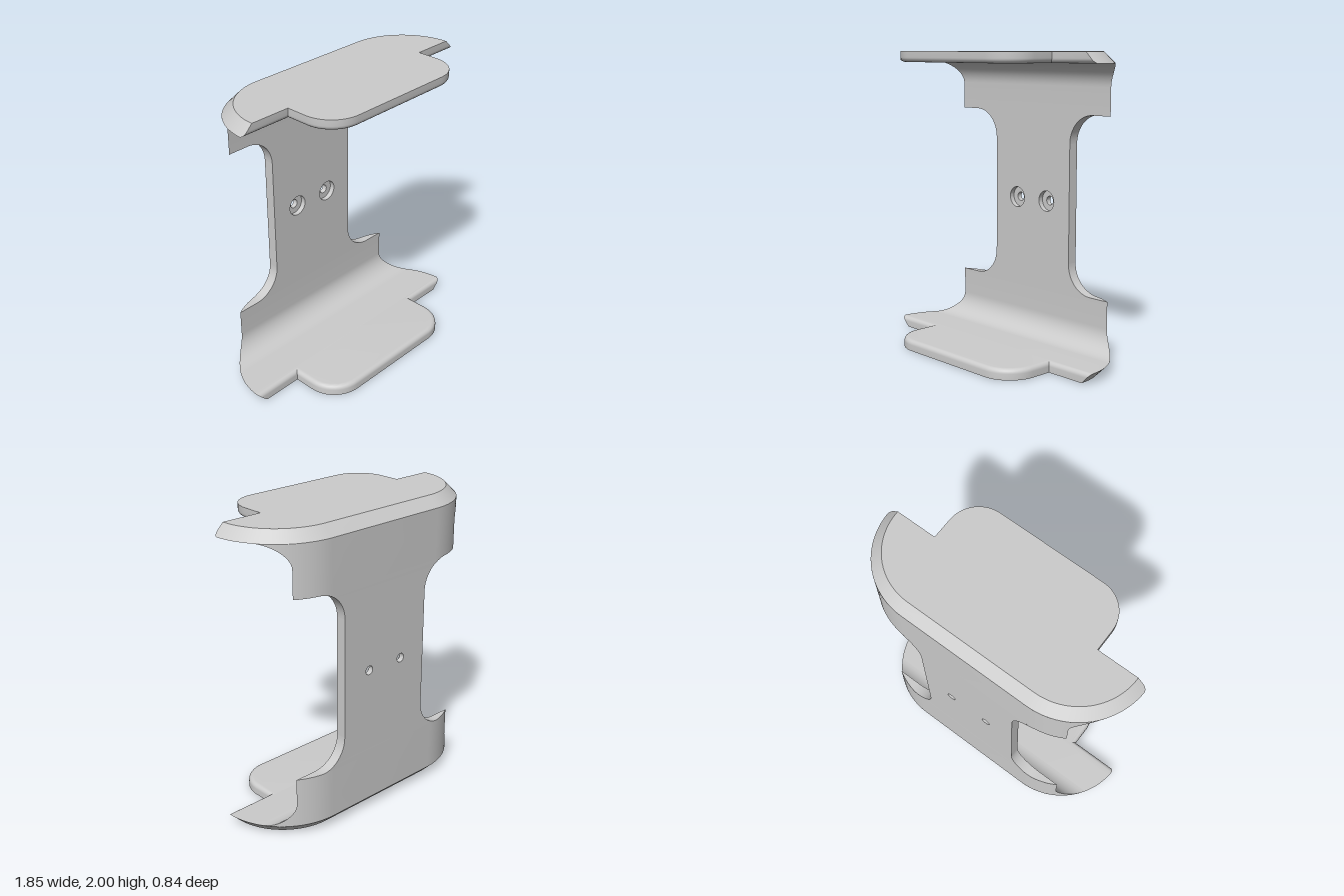
import * as THREE from 'three';
import { toCreasedNormals } from 'three/addons/utils/BufferGeometryUtils.js';

const material = new THREE.MeshStandardMaterial({ color: 0xcccccc });
const THICK = 0.07;                         // plate and wall thickness
const ARC = { x: 0.445, z: 0.06, r: 0.48 }; // rounded back corners of the outline
const WALL_Z = -0.35;                       // front face of the wall
const steps = (n, f) => Array.from({ length: n + 1 }, (_, i) => f(i / n));

// Closed solid through horizontal rings, each counterclockwise seen from above
function loft(rings) {
  const pos = [];
  const tri = (...pts) => pts.forEach((p) => pos.push(p.x, p.y, p.z));
  for (let k = 0; k < rings.length - 1; k++) {
    const a = rings[k], b = rings[k + 1];
    for (let i = 0; i < a.length; i++) {
      const j = (i + 1) % a.length;
      tri(a[i], a[j], b[j]);
      tri(a[i], b[j], b[i]);
    }
  }
  const cap = (ring, up) => {
    const flat = ring.map((p) => new THREE.Vector2(p.x, -p.z));
    for (const [a, b, c] of THREE.ShapeUtils.triangulateShape(flat, [])) {
      if (up) tri(ring[a], ring[b], ring[c]);
      else tri(ring[a], ring[c], ring[b]);
    }
  };
  cap(rings[0], false);
  cap(rings[rings.length - 1], true);
  const geometry = new THREE.BufferGeometry();
  geometry.setAttribute('position', new THREE.Float32BufferAttribute(pos, 3));
  return toCreasedNormals(geometry, 0.5);
}

function part(name, geometry) {
  const mesh = new THREE.Mesh(geometry, material);
  mesh.name = name;
  return mesh;
}

// Plate outline: the back edge moves in by `back`, the front edge by `front`
function plateRing(y, back, front) {
  const tabW = 0.58 - front, tabZ = 0.42 - front, tabR = 0.21 - front;
  const wingZ = 0.065 - front, r = ARC.r - back;
  const a0 = Math.asin(Math.max(0, (ARC.z - wingZ) / r));
  const half = [
    ...steps(12, (t) => {
      const a = t * Math.PI / 2;
      return [tabW - tabR + tabR * Math.sin(a), tabZ - tabR + tabR * Math.cos(a)];
    }),
    [tabW, wingZ],
    [ARC.x + r * Math.cos(a0), wingZ],
    ...steps(24, (t) => {
      const a = a0 + t * (Math.PI / 2 - a0);
      return [ARC.x + r * Math.cos(a), ARC.z - r * Math.sin(a)];
    }),
  ];
  const mirrored = half.map(([x, z]) => [-x, z]).reverse();
  return [...half, ...mirrored].map(([x, z]) => new THREE.Vector3(x, y, z));
}

// Wall section: flat front at zFront, back following the plate outline
function wallRing(y, zFront, w) {
  const m = Math.min(w, ARC.x);
  const side = steps(14, (t) => m + (w - m) * Math.sin(t * Math.PI / 2));
  const xs = [...side.map((x) => -x).reverse(), ...side];
  const backZ = (x) => {
    const d = Math.max(0, Math.abs(x) - ARC.x);
    return Math.min(zFront, ARC.z - Math.sqrt(ARC.r ** 2 - d ** 2));
  };
  return [
    ...xs.map((x) => new THREE.Vector3(x, y, zFront)),
    ...xs.map((x) => new THREE.Vector3(x, y, backZ(x))).reverse(),
  ];
}
const outlineX = (z) => ARC.x + Math.sqrt(ARC.r ** 2 - (ARC.z - z) ** 2);

function createEnd(name) {
  const end = new THREE.Group();
  end.name = name;

  // Plate: chamfered back edge, rounded inner front edge
  const round = 0.03;
  end.add(part(name + 'Plate', loft([
    plateRing(0, THICK, 0),
    ...steps(6, (t) => {
      const a = t * Math.PI / 2;
      const y = THICK - round + round * Math.sin(a);
      return plateRing(y, THICK - y, round * (1 - Math.cos(a)));
    }),
  ])));

  // Wall foot with a concave fillet into the plate
  const fillet = 0.155;
  end.add(part(name + 'WallFoot', loft([
    ...steps(14, (t) => {
      const a = t * Math.PI / 2;
      const z = WALL_Z + fillet * (1 - Math.sin(a));
      return wallRing(THICK + fillet * (1 - Math.cos(a)), z, outlineX(z));
    }),
    wallRing(0.405, WALL_Z, outlineX(WALL_Z)),
  ])));

  // Curved narrowing from the foot to the central web
  const r = 0.195;
  end.add(part(name + 'WallNeck', loft(steps(16, (t) => {
    const a = t * Math.PI / 2;
    return wallRing(0.6 - r * Math.cos(a), WALL_Z, 0.35 + r * (1 - Math.sin(a)));
  }))));
  return end;
}

// One layer of the central web, with two round holes
function webLayer(name, holeRadius, z, depth) {
  const shape = new THREE.Shape();
  shape.moveTo(-0.35, 0.6).lineTo(0.35, 0.6).lineTo(0.35, 1.4).lineTo(-0.35, 1.4).closePath();
  for (const x of [-0.14, 0.14]) {
    shape.holes.push(new THREE.Path().absarc(x, 1, holeRadius, 0, Math.PI * 2, true));
  }
  const geometry = new THREE.ExtrudeGeometry(shape, { depth, bevelEnabled: false, curveSegments: 32 });
  geometry.translate(0, 0, z);
  return part(name, toCreasedNormals(geometry, 0.5));
}

export function createModel() {
  const model = new THREE.Group();
  model.name = 'wallBracket';

  const bottom = createEnd('bottom');
  const top = createEnd('top');
  top.rotation.z = Math.PI;
  top.position.y = 2;

  // Central web with counterbored screw holes
  const bore = 0.035;
  model.add(
    bottom,
    top,
    webLayer('webFront', 0.07, WALL_Z - bore, bore),
    webLayer('webBack', 0.03, WALL_Z - THICK, THICK - bore),
  );
  return model;
}
